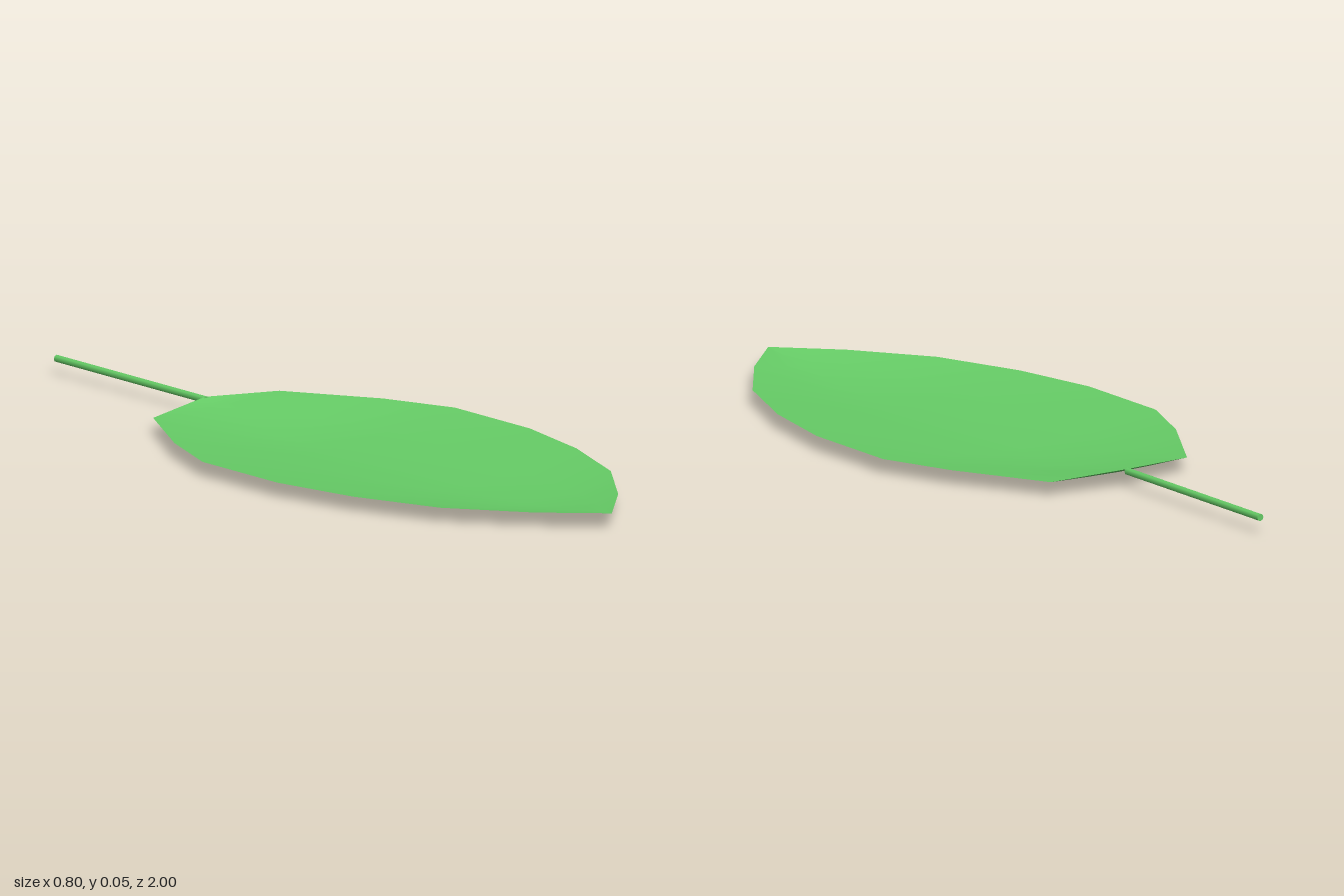
import * as THREE from 'three';

// Blade cross-sections from tip to base: z, half width, midrib height, rim height
const SECTIONS = [
  [1.0, 0, 0.038, 0.038],
  [0.87, 0.135, 0.021, 0.038],
  [0.69, 0.27, 0.001, 0.038],
  [0.47, 0.355, 0, 0.038],
  [0.25, 0.4, 0, 0.038],
  [-0.02, 0.4, 0, 0.038],
  [-0.2, 0.33, 0.001, 0.038],
  [-0.425, 0.2, 0.031, 0.036],
  [-0.465, 0, 0.047, 0.047],
];
const ACROSS = [-1, -0.5, 0, 0.5, 1];

// Shallow cupped blade lofted through the sections
function bladeGeometry() {
  const positions = [];
  const indices = [];
  const n = ACROSS.length;
  const last = SECTIONS.length - 2;
  for (const [z, width, mid, rim] of SECTIONS) {
    for (const u of ACROSS) {
      positions.push(u * width, mid + (rim - mid) * Math.abs(u) ** 1.45, z);
    }
  }
  for (let i = 0; i <= last; i++) {
    for (let j = 0; j < n - 1; j++) {
      const a = i * n + j;
      const c = a + n;
      // The pointed ends need only one triangle per cell
      if (i > 0) indices.push(a, a + 1, c);
      if (i < last) indices.push(a + 1, c + 1, c);
    }
  }
  const geometry = new THREE.BufferGeometry();
  geometry.setAttribute('position', new THREE.Float32BufferAttribute(positions, 3));
  geometry.setIndex(indices);
  geometry.computeVertexNormals();
  return geometry;
}

export function createModel() {
  const group = new THREE.Group();
  group.name = 'leaf';

  const blade = new THREE.Mesh(
    bladeGeometry(),
    new THREE.MeshStandardMaterial({ color: 0x66cc66, side: THREE.DoubleSide })
  );
  blade.name = 'blade';
  group.add(blade);

  // Straight round stalk running back from the base of the blade
  const length = 0.54;
  const stalk = new THREE.Mesh(
    new THREE.CylinderGeometry(0.009, 0.009, length, 8),
    new THREE.MeshStandardMaterial({ color: 0x66cc66 })
  );
  stalk.name = 'stalk';
  stalk.rotation.x = Math.PI / 2;
  stalk.position.set(0, 0.04, -1 + length / 2);
  group.add(stalk);

  return group;
}
